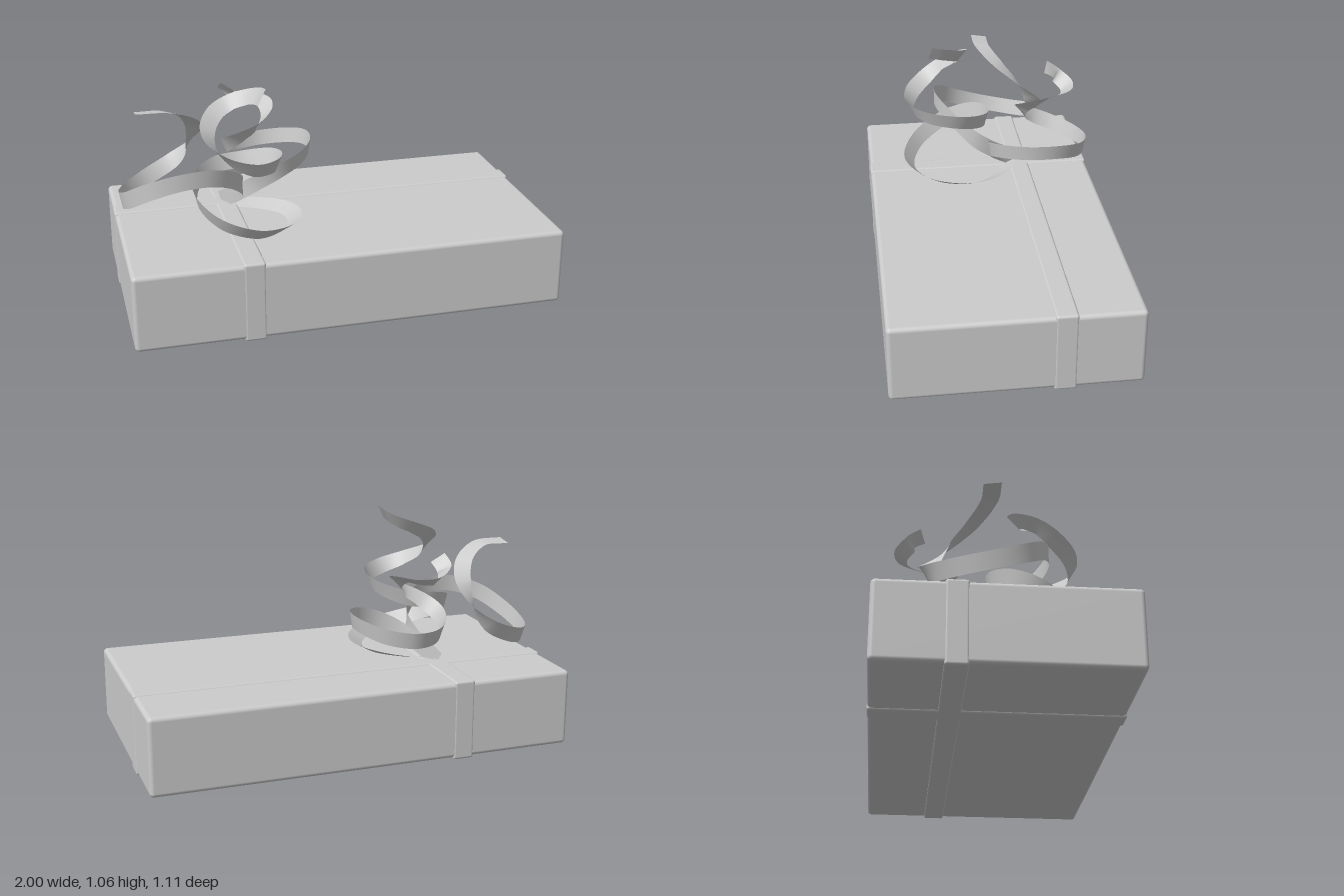
import * as THREE from 'three';
import { RoundedBoxGeometry } from 'three/addons/geometries/RoundedBoxGeometry.js';

const paper = new THREE.MeshStandardMaterial({ color: 0xcccccc });
const satin = new THREE.MeshStandardMaterial({ color: 0xcccccc, side: THREE.DoubleSide });

function roundedBox(name, w, h, d, r, x, y, z) {
  const mesh = new THREE.Mesh(new RoundedBoxGeometry(w, h, d, 4, r), paper);
  mesh.name = name;
  mesh.position.set(x, y, z);
  return mesh;
}

// Strip swept along a curve. Points are [x, y, z, tilt in degrees]; tilt leans
// the upper edge outward from the curl, turn is the curl's winding direction.
function curl(name, points, turn, width = 0.08, steps = 140) {
  const path = new THREE.CatmullRomCurve3(points.map(p => new THREE.Vector3(p[0], p[1], p[2])));
  const up = new THREE.Vector3(0, 1, 0);
  const position = [], index = [];
  for (let i = 0; i <= steps; i++) {
    const t = i / steps;
    const f = t * (points.length - 1);
    const k = Math.min(Math.floor(f), points.length - 2);
    const tilt = THREE.MathUtils.degToRad(THREE.MathUtils.lerp(points[k][3], points[k + 1][3], f - k));
    const center = path.getPoint(t), tangent = path.getTangent(t);
    const out = new THREE.Vector3().crossVectors(up, tangent).normalize().multiplyScalar(turn);
    const across = up.clone().multiplyScalar(Math.cos(tilt)).addScaledVector(out, Math.sin(tilt));
    across.addScaledVector(tangent, -across.dot(tangent)).normalize().multiplyScalar(width / 2);
    // keep the outer edge on the path
    center.addScaledVector(out, -Math.abs(Math.sin(tilt)) * width / 2);
    for (const s of [-1, 1]) {
      const v = center.clone().addScaledVector(across, s);
      position.push(v.x, v.y, v.z);
    }
    if (i < steps) {
      const a = i * 2;
      index.push(a, a + 2, a + 1, a + 1, a + 2, a + 3);
    }
  }
  const geometry = new THREE.BufferGeometry();
  geometry.setAttribute('position', new THREE.Float32BufferAttribute(position, 3));
  geometry.setIndex(index);
  geometry.computeVertexNormals();
  const mesh = new THREE.Mesh(geometry, satin);
  mesh.name = name;
  return mesh;
}

export function createModel() {
  const gift = new THREE.Group();
  gift.name = 'giftBox';

  // wrapped box and the two crossing bands
  gift.add(roundedBox('box', 1.992, 0.36, 1.104, 0.02, 0, 0.192, 0));
  gift.add(roundedBox('longBand', 1.997, 0.376, 0.1, 0.012, 0, 0.191, -0.205));
  gift.add(roundedBox('crossBand', 0.1, 0.376, 1.108, 0.012, -0.46, 0.191, 0));

  // curled ribbon ends rising from the crossing
  gift.add(curl('sideCurl', [
    [-0.48, 0.38, -0.21, 0], [-0.42, 0.46, -0.08, 0], [-0.41, 0.53, 0.02, 0], [-0.47, 0.6, 0.11, 0],
    [-0.58, 0.645, 0.18, 0], [-0.72, 0.645, 0.2, 0], [-0.86, 0.6, 0.16, 0], [-0.95, 0.535, 0.07, 5],
    [-0.98, 0.49, -0.05, 10], [-0.95, 0.47, -0.19, 15], [-0.85, 0.49, -0.3, 20], [-0.69, 0.56, -0.355, 35],
    [-0.59, 0.65, -0.32, 60], [-0.555, 0.75, -0.22, 80], [-0.61, 0.84, -0.1, 85],
    [-0.74, 0.9, -0.02, 82], [-0.885, 0.905, -0.015, 80],
  ], 1));

  gift.add(curl('backCurl', [
    [-0.46, 0.38, -0.2, 0], [-0.41, 0.44, -0.12, 0], [-0.33, 0.51, -0.05, 5], [-0.22, 0.565, -0.03, 8],
    [-0.11, 0.6, -0.08, 8], [-0.03, 0.62, -0.2, 8], [-0.025, 0.62, -0.34, 10], [-0.1, 0.595, -0.46, 10],
    [-0.23, 0.575, -0.51, 10], [-0.36, 0.575, -0.47, 15], [-0.44, 0.6, -0.37, 20], [-0.45, 0.64, -0.27, 30],
    [-0.39, 0.69, -0.19, 40], [-0.29, 0.74, -0.17, 45], [-0.21, 0.79, -0.24, 50], [-0.2, 0.82, -0.34, 60],
    [-0.27, 0.82, -0.44, 60], [-0.37, 0.825, -0.46, 50], [-0.44, 0.86, -0.4, 45], [-0.43, 0.91, -0.33, 40],
  ], -1, 0.075));

  gift.add(curl('frontCurl', [
    [-0.44, 0.382, -0.2, 75], [-0.3, 0.386, -0.14, 70], [-0.18, 0.395, -0.02, 62], [-0.15, 0.4, 0.12, 60],
    [-0.22, 0.405, 0.28, 55], [-0.4, 0.425, 0.38, 40], [-0.57, 0.47, 0.32, 25], [-0.66, 0.54, 0.17, 15],
    [-0.63, 0.595, 0.04, 10], [-0.53, 0.63, -0.04, 10], [-0.4, 0.645, -0.045, 15], [-0.28, 0.68, 0.04, 20],
    [-0.25, 0.7, 0.15, 20], [-0.29, 0.715, 0.28, 22], [-0.4, 0.73, 0.365, 30], [-0.52, 0.765, 0.35, 40],
    [-0.61, 0.82, 0.26, 50], [-0.62, 0.875, 0.17, 50], [-0.56, 0.93, 0.08, 45], [-0.47, 0.965, 0.05, 40],
    [-0.38, 0.995, 0.09, 35], [-0.34, 1.015, 0.16, 30], [-0.335, 1.03, 0.24, 28],
  ], 1));

  return gift;
}
